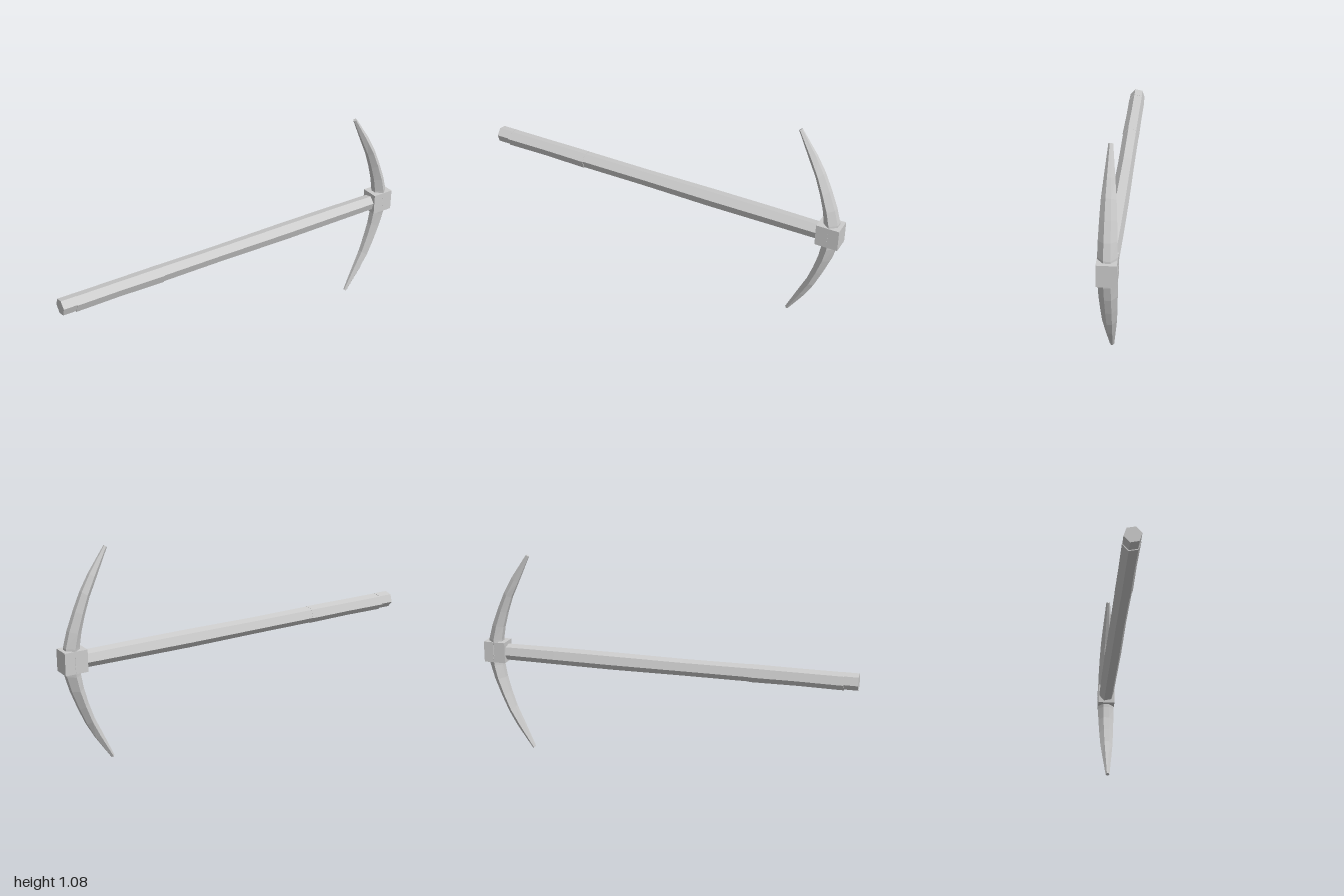
import * as THREE from 'three';

const SIDES = 6;
const MID_Y = 0.54;

// Closed flat-faced loft through rings of points (each ring counterclockwise about the path)
function loft(rings) {
  const pos = [];
  const tri = (a, b, c) => pos.push(...a, ...b, ...c);
  for (let i = 0; i < rings.length - 1; i++) {
    const p = rings[i], q = rings[i + 1];
    for (let j = 0; j < p.length; j++) {
      const k = (j + 1) % p.length;
      tri(p[j], p[k], q[k]);
      tri(p[j], q[k], q[j]);
    }
  }
  const first = rings[0], last = rings[rings.length - 1];
  for (let j = 1; j < first.length - 1; j++) {
    tri(first[0], first[j + 1], first[j]);
    tri(last[0], last[j], last[j + 1]);
  }
  const g = new THREE.BufferGeometry();
  g.setAttribute('position', new THREE.Float32BufferAttribute(pos, 3));
  g.computeVertexNormals();
  return g;
}

// Hexagonal shaft along x from stations [x, radius, yOffset, zOffset]
function shaft(stations) {
  return loft(stations.map(([x, r, dy, dz]) =>
    Array.from({ length: SIDES }, (_, j) => {
      const a = (18 + j * 360 / SIDES) * Math.PI / 180;
      return [x, MID_Y + dy + r * Math.cos(a), dz + r * Math.sin(a)];
    })));
}

// Hexagonal blade section: ridges on the sides, flats on the inner and outer curves
function bladeRing([xi, yi, xo, yo, halfZ]) {
  const flat = halfZ * 0.36;
  const xm = (xi + xo) / 2, ym = (yi + yo) / 2;
  return [
    [xo, yo, flat], [xo, yo, -flat], [xm, ym, -halfZ],
    [xi, yi, -flat], [xi, yi, flat], [xm, ym, halfZ],
  ];
}

export function createModel() {
  const root = new THREE.Group();
  root.name = 'pickaxe';
  const grey = new THREE.MeshStandardMaterial({ color: 0xcccccc });
  grey.name = 'plain grey';
  grey.flatShading = true;

  const add = (name, geometry) => {
    const mesh = new THREE.Mesh(geometry, grey);
    mesh.name = name;
    root.add(mesh);
    return mesh;
  };

  // Handle: butt, grip and long shaft, each a slight step apart
  add('handleButt', shaft([[-1, 0.043, 0.003, -0.001], [-0.92, 0.043, 0.003, -0.001]]));
  add('handleGrip', shaft([
    [-0.93, 0.045, 0, -0.001], [-0.7, 0.044, 0.001, -0.001], [-0.45, 0.046, 0, 0],
  ]));
  add('handleShaft', shaft([
    [-0.455, 0.044, 0.001, -0.001], [-0.1, 0.043, 0, -0.002],
    [0.3, 0.046, 0, -0.001], [0.6, 0.045, 0.001, -0.001], [0.9, 0.043, 0.001, 0],
  ]));

  // Curved pick blade: [innerX, innerY, outerX, outerY, halfWidth], mirrored downwards
  const upper = [
    [0.91, 0.54, 0.982, 0.54, 0.047],
    [0.905, 0.61, 0.977, 0.61, 0.046],
    [0.893, 0.68, 0.955, 0.69, 0.044],
    [0.871, 0.76, 0.919, 0.785, 0.040],
    [0.842, 0.845, 0.881, 0.873, 0.035],
    [0.802, 0.93, 0.836, 0.955, 0.026],
    [0.738, 1.07, 0.752, 1.08, 0.011],
  ];
  const lower = upper.slice(1).reverse()
    .map(([xi, yi, xo, yo, w]) => [xi, 2 * MID_Y - yi, xo, 2 * MID_Y - yo, w]);
  add('pickBlade', loft([...lower, ...upper].map(bladeRing)));

  // Socket block holding the blade
  const block = add('socketBlock', new THREE.BoxGeometry(0.118, 0.112, 0.094));
  block.position.set(0.938, 0.544, 0.001);

  // Small pins on both faces of the block
  for (const z of [-0.0465, 0.0485]) {
    for (const dy of [-0.022, 0, 0.022]) {
      const pin = add('pin', new THREE.CylinderGeometry(0.003, 0.003, 0.003, 6));
      pin.rotation.x = Math.PI / 2;
      pin.position.set(0.94, 0.545 + dy, z);
    }
  }
  return root;
}
